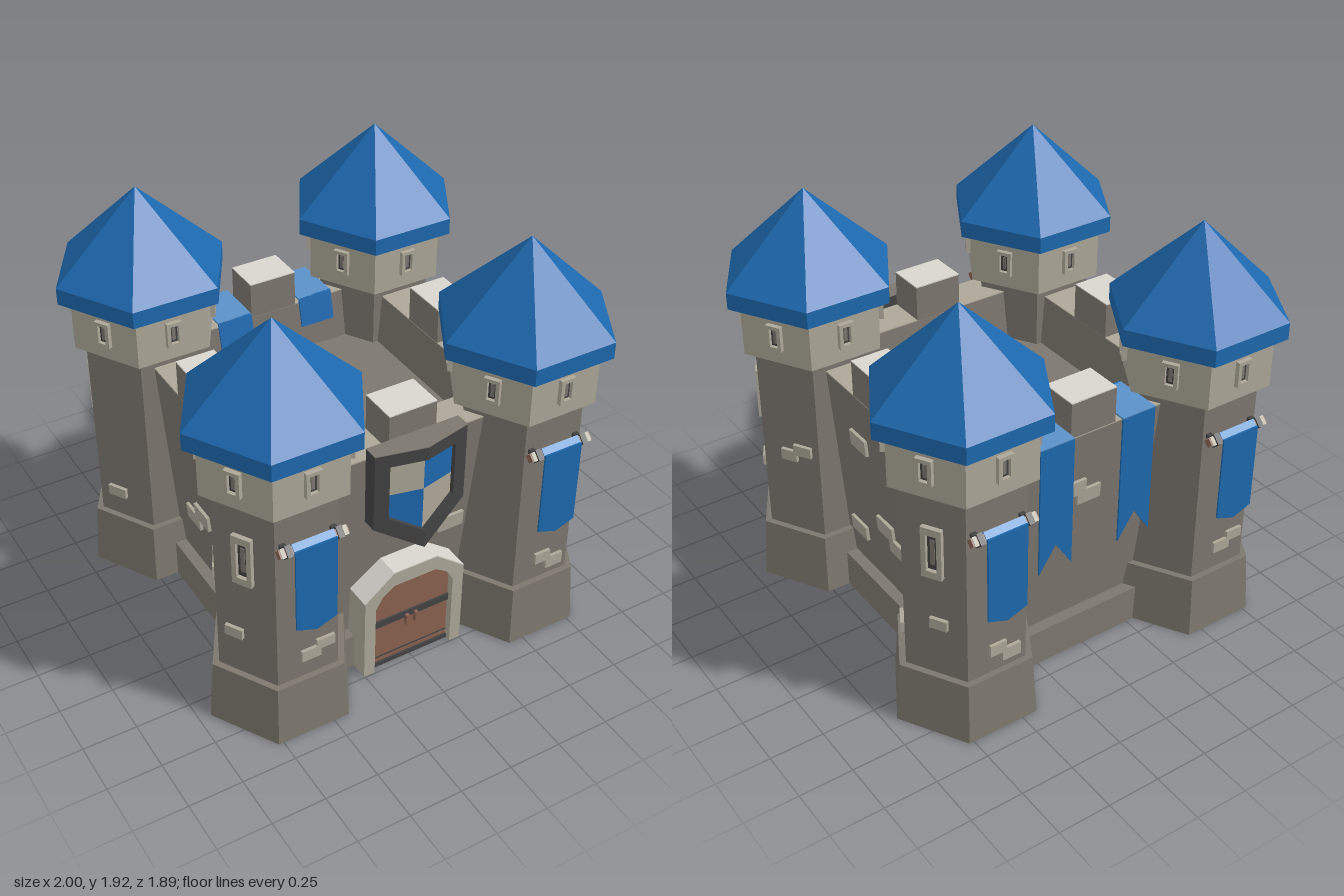
import * as THREE from 'three';

const mat = (name, color) => new THREE.MeshStandardMaterial({ name, color, flatShading: true, side: THREE.DoubleSide });

export function createModel() {
  const castle = new THREE.Group();
  castle.name = 'castle';
  const stone = mat('wall stone', 0x7d776e);
  const trim = mat('trim stone', 0xada798);
  const pale = mat('pale stone', 0xd9d5ce);
  const blue = mat('blue', 0x1d68ae);
  const lightBlue = mat('light blue', 0x5b92ca);
  const iron = mat('dark iron', 0x434344);
  const wood = mat('wood', 0x8a6251);

  const add = (parent, name, geo, material, x = 0, y = 0, z = 0) => {
    const m = new THREE.Mesh(geo, material);
    m.name = name;
    m.position.set(x, y, z);
    parent.add(m);
    return m;
  };
  const group = (parent, name, angle = 0) => {
    const g = new THREE.Group();
    g.name = name;
    g.rotation.y = angle;
    parent.add(g);
    return g;
  };
  const box = (parent, name, material, w, h, d, x, y, z) =>
    add(parent, name, new THREE.BoxGeometry(w, h, d), material, x, y, z);
  const poly = (pts) => new THREE.Shape(pts.map(([x, y]) => new THREE.Vector2(x, y)));
  const slab = (pts, depth, hole) => {
    const s = poly(pts);
    if (hole) s.holes.push(poly(hole));
    return new THREE.ExtrudeGeometry(s, { depth, bevelEnabled: false });
  };
  const rect = (w, h) => [[-w / 2, -h / 2], [w / 2, -h / 2], [w / 2, h / 2], [-w / 2, h / 2]];
  const hexLathe = (pts) =>
    new THREE.LatheGeometry(pts.map(([r, y]) => new THREE.Vector2(r, y)), 6, Math.PI / 6);
  const mirrored = (half) => [...half, ...half.map(([x, y]) => [-x, y]).reverse()];

  // Slit window lying against a face at distance d
  const slit = (face, w, h, y, d) => {
    add(face, 'window frame', slab(rect(w, h), 0.025, rect(w * 0.52, h * 0.72)), trim, 0, y, d - 0.003);
    box(face, 'window opening', iron, w * 0.5, h * 0.7, 0.008, 0, y, d + 0.002);
    box(face, 'window slit', stone, w * 0.22, h * 0.5, 0.004, 0, y, d + 0.007);
  };
  const brick = (face, x, y, w, h, d) => box(face, 'raised stone', trim, w, h, 0.035, x, y, d);

  // Courtyard block, raised a little inside the open footing
  box(castle, 'courtyard', stone, 1, 0.84, 1, 0, 0.5, 0);

  // Towers
  const makeTower = (sx, sz) => {
    const t = group(castle, 'tower');
    t.position.set(sx * 0.6, 0, sz * 0.6);
    add(t, 'tower body', hexLathe([[0.345, 0], [0.322, 0.295], [0.29, 0.295], [0.29, 1.22]]), stone);
    add(t, 'tower head', hexLathe([[0.28, 1.22], [0.342, 1.22], [0.342, 1.465]]), trim);
    add(t, 'tower roof', hexLathe([[0.33, 1.462], [0.4, 1.462], [0.4, 1.54], [0, 1.925]]), blue);
    for (let i = 0; i < 6; i++) slit(group(t, 'head window', i * Math.PI / 3), 0.072, 0.12, 1.35, 0.296);

    const side = (sz2) => Math.atan2(sx * 0.866, sz2 * 0.5);
    const outer = group(t, 'outer face', side(sz));
    slit(outer, 0.092, 0.245, 0.93, 0.251);
    if (sz > 0) brick(outer, sx * 0.055, sx > 0 ? 0.6 : 0.52, 0.085, 0.05, 0.251);
    else brick(outer, sx * 0.02, 0.57, 0.08, 0.05, 0.251);
    const inner = group(t, 'inner face', side(-sz));
    if (sz > 0) {
      brick(inner, sx * 0.065, 0.748, 0.09, 0.052, 0.251);
      brick(inner, sx * -0.005, 0.71, 0.08, 0.055, 0.251);
    } else brick(inner, sx * 0.04, 0.435, 0.095, 0.052, 0.251);

    // Hanging banner and nearby stones on the front or back face
    const face = group(t, 'banner face', sz > 0 ? 0 : Math.PI);
    const stones = sx > 0 ? [[0, 0.415, 0.08, 0.055], [0.065, 0.37, 0.09, 0.06]]
      : [[0.01, 0.415, 0.09, 0.055], [0.08, 0.45, 0.085, 0.05]];
    stones.forEach(([x, y, w, h]) => brick(face, x, y, w, h, 0.249));
    add(face, 'tower banner',
      slab([[-0.095, 1.06], [0.095, 1.06], [0.095, 0.65], [0, 0.615], [-0.095, 0.65]], 0.008), blue, 0, 0, 0.322);
    const bar = (name, r, length, material, x) => {
      const m = add(face, name, new THREE.CylinderGeometry(r, r, length, 4), material, x, 1.05, 0.297);
      m.rotation.z = Math.PI / 2;
    };
    bar('banner rod', 0.024, 0.31, wood, 0);
    bar('banner fold', 0.031, 0.19, lightBlue, 0);
    for (const s of [-1, 1]) {
      box(face, 'rod bracket', iron, 0.025, 0.03, 0.06, s * 0.115, 1.045, 0.27);
      bar('rod collar', 0.035, 0.025, iron, s * 0.115);
      bar('rod ring', 0.029, 0.018, trim, s * 0.14);
    }
  };
  for (const sx of [-1, 1]) for (const sz of [-1, 1]) makeTower(sx, sz);

  // Outward-leaning walls: profile is (distance from centre, height)
  const alongX = (pts, length) => slab(pts, length).rotateY(-Math.PI / 2).translate(length / 2, 0, 0);
  const wallZ = (y) => 0.6 + 0.08 * (y - 0.17);
  const wallStones = {
    front: [[0.15, 0.68, 0.13, 0.08], [0.24, 0.62, 0.13, 0.075]],
    right: [[-0.11, 0.92, 0.13, 0.08], [0.035, 0.525, 0.13, 0.08], [0.13, 0.46, 0.13, 0.075], [-0.22, 0.37, 0.13, 0.075]],
    back: [[-0.08, 0.89, 0.12, 0.075], [0, 0.835, 0.12, 0.07]],
    left: [[0.11, 0.92, 0.13, 0.08], [-0.035, 0.525, 0.13, 0.08], [-0.13, 0.46, 0.13, 0.075], [0.22, 0.37, 0.13, 0.075]],
  };
  const walls = {};
  Object.entries(wallStones).forEach(([name, stones], i) => {
    const w = walls[name] = group(castle, name + ' wall', i * Math.PI / 2);
    add(w, 'wall', alongX([[wallZ(0.16), 0.16], [0.68, 1.162], [0.5, 1.162], [0.42, 0.16]], 1), stone);
    add(w, 'wall footing',
      alongX([[0.66, 0], [0.655, 0.175], [0.5, 0.175], [0.5, 0.165], [0.645, 0.165], [0.65, 0]], 0.74), stone);
    box(w, 'wall top', trim, 1, 0.006, 0.18, 0, 1.164, 0.59);
    box(w, 'merlon', stone, 0.23, 0.17, 0.18, 0, 1.248, 0.59);
    box(w, 'merlon top', pale, 0.23, 0.006, 0.18, 0, 1.335, 0.59);
    stones.forEach(([x, y, bw, bh]) => { brick(w, x, y, bw, bh, wallZ(y) - 0.002).rotation.x = 0.08; });
  });

  // Swallow-tailed banners draped over the back wall
  for (const s of [-1, 1]) {
    const b = group(walls.back, 'draped banner');
    b.position.x = s * 0.21;
    add(b, 'banner tail',
      slab([[-0.085, 1.195], [0.085, 1.195], [0.085, 0.56], [0, 0.69], [-0.085, 0.56]], 0.008), blue, 0, 0, 0.712);
    box(b, 'banner top', lightBlue, 0.17, 0.008, 0.24, 0, 1.195, 0.6);
    add(b, 'banner inner end', alongX([[0.48, 1.199], [0.45, 1.06], [0.458, 1.06], [0.488, 1.199]], 0.17), blue);
  }

  // Gate with arched frame
  const gate = group(castle, 'gate');
  const innerArch = mirrored([[0.2, 0], [0.2, 0.375], [0.165, 0.435], [0.105, 0.475]]);
  const archRing = [[0.255, 0], [0.255, 0.43], [0.11, 0.545], [-0.11, 0.545], [-0.255, 0.43], [-0.255, 0],
    ...innerArch.slice().reverse()];
  add(gate, 'gate frame', slab(archRing, 0.165), trim, 0, 0, 0.58);
  add(gate, 'gate coping',
    slab(mirrored([[0.255, 0.43], [0.258, 0.434], [0.111, 0.55]]).concat([[-0.255, 0.43], [-0.11, 0.545], [0.11, 0.545]])
      .filter(([x, y], i) => i !== 5), 0.164), pale, 0, 0, 0.58);
  add(gate, 'gate door', slab(innerArch, 0.1), wood, 0, 0, 0.61);
  box(gate, 'door band', iron, 0.4, 0.035, 0.012, 0, 0.25, 0.713);
  box(gate, 'door sill', iron, 0.4, 0.022, 0.012, 0, 0.011, 0.713);
  box(gate, 'door groove', iron, 0.4, 0.006, 0.004, 0, 0.05, 0.711);
  for (const s of [-1, 1]) box(gate, 'door handle', wood, 0.016, 0.055, 0.02, s * 0.023, 0.225, 0.725);

  // Shield with a flat back and a keeled front, built as two halves
  const shield = group(castle, 'shield');
  for (const s of [-1, 1]) {
    const half = (name, pts, depth, z, material, backBend = 0.227) => {
      const geo = slab(pts.map(([x, y]) => [x * s, y]), depth);
      const p = geo.attributes.position;
      for (let i = 0; i < p.count; i++) {
        const bend = p.getZ(i) > depth / 2 ? 0.227 : backBend;
        p.setZ(i, p.getZ(i) - Math.abs(p.getX(i)) * bend);
      }
      geo.computeVertexNormals();
      add(shield, name, geo, material, 0, 0, z);
    };
    half('shield rim', [[0, 1.217], [0.225, 1.217], [0.225, 0.84], [0, 0.69], [0, 0.78], [0.16, 0.885],
      [0.16, 1.155], [0, 1.155]], 0.12, 0.68, iron, 0);
    half('shield top edge', [[0, 1.217], [0.225, 1.217], [0.225, 1.221], [0, 1.221]], 0.12, 0.68, stone, 0);
    half('shield back', [[0, 1.19], [0.19, 1.19], [0.19, 0.86], [0, 0.73]], 0.07, 0.69, iron, 0);
    half('upper quarter', [[0, 0.99], [0.16, 0.99], [0.16, 1.155], [0, 1.155]], 0.008, 0.768, s > 0 ? blue : trim);
    half('lower quarter', [[0, 0.78], [0.16, 0.885], [0.16, 0.99], [0, 0.99]], 0.008, 0.768, s > 0 ? trim : blue);
  }
  return castle;
}
